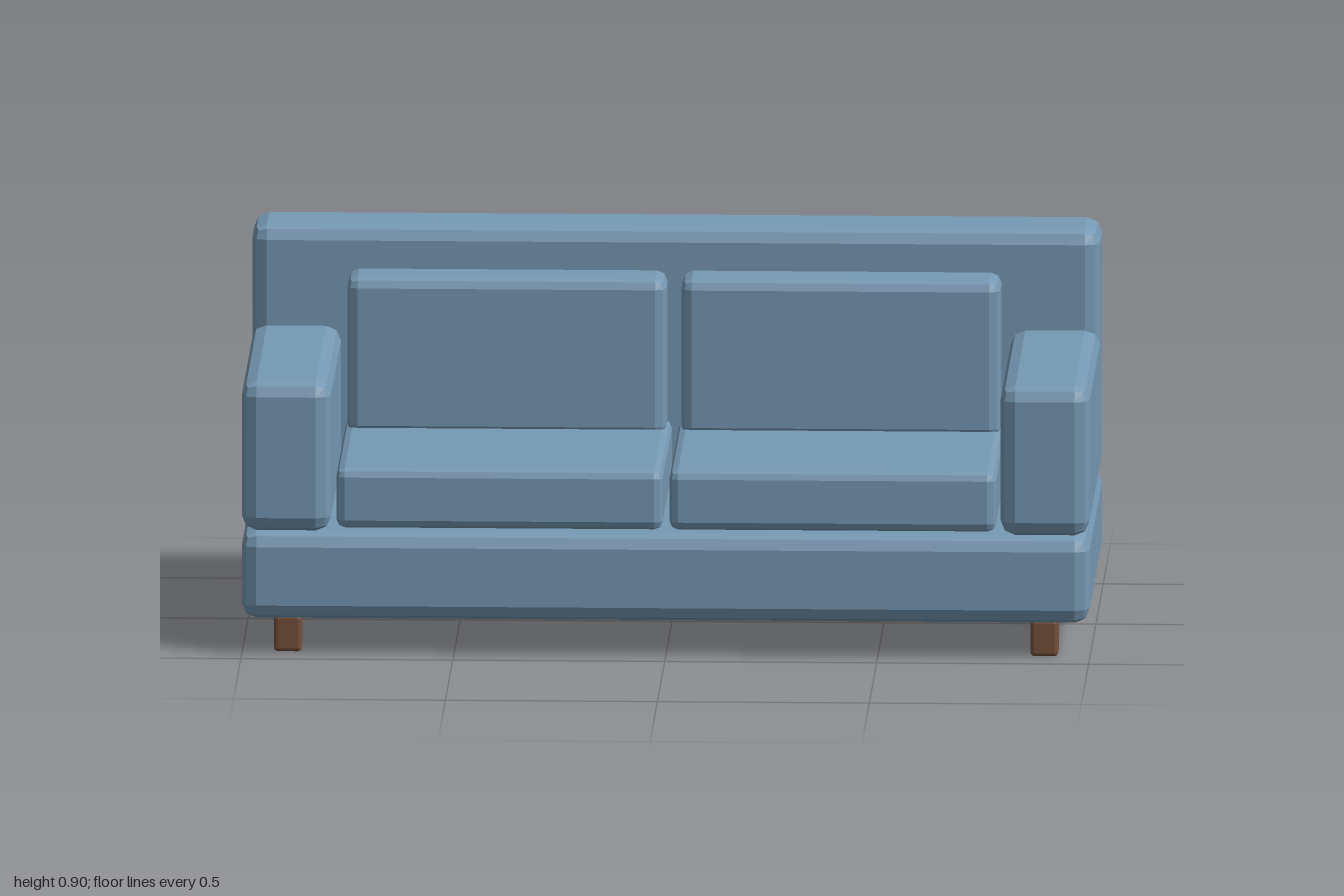
import * as THREE from 'three';
import { RoundedBoxGeometry } from 'three/addons/geometries/RoundedBoxGeometry.js';

const fabric = new THREE.MeshStandardMaterial({ color: 0x7699b4, flatShading: true });
const wood = new THREE.MeshStandardMaterial({ color: 0x75513a, flatShading: true });

// Box with two-facet bevelled edges, given by its [min, max] range on each axis
function block(name, [x0, x1], [y0, y1], [z0, z1], bevel, material) {
  const geometry = new RoundedBoxGeometry(x1 - x0, y1 - y0, z1 - z0, 1, bevel);
  const mesh = new THREE.Mesh(geometry, material);
  mesh.position.set((x0 + x1) / 2, (y0 + y1) / 2, (z0 + z1) / 2);
  mesh.name = name;
  return mesh;
}

export function createModel() {
  const sofa = new THREE.Group();
  sofa.name = 'sofa';

  // Base and backrest span the full width
  sofa.add(block('base', [-1, 1], [0.085, 0.295], [-0.46, 0.46], 0.035, fabric));
  sofa.add(block('backrest', [-1, 1], [0.295, 0.895], [-0.46, -0.255], 0.035, fabric));

  for (const [side, s] of [['left', 1], ['right', -1]]) {
    const across = (a, b) => (s > 0 ? [a, b] : [-b, -a]);

    // The arm runs back into the backrest, so the outer side is flush
    sofa.add(block(side + 'Arm', across(0.79, 1), [0.295, 0.655], [-0.42, 0.46], 0.035, fabric));

    // Loose cushions
    sofa.add(block(side + 'SeatCushion', across(0.008, 0.778), [0.297, 0.44], [-0.25, 0.415], 0.02, fabric));
    sofa.add(block(side + 'BackCushion', across(0.018, 0.77), [0.42, 0.8], [-0.245, -0.1], 0.025, fabric));

    // Front and back legs
    for (const [end, z] of [['Front', 0.38], ['Back', -0.38]]) {
      sofa.add(block(side + end + 'Leg', across(0.86, 0.925), [0, 0.088], [z - 0.031, z + 0.031], 0.008, wood));
    }
  }
  return sofa;
}
